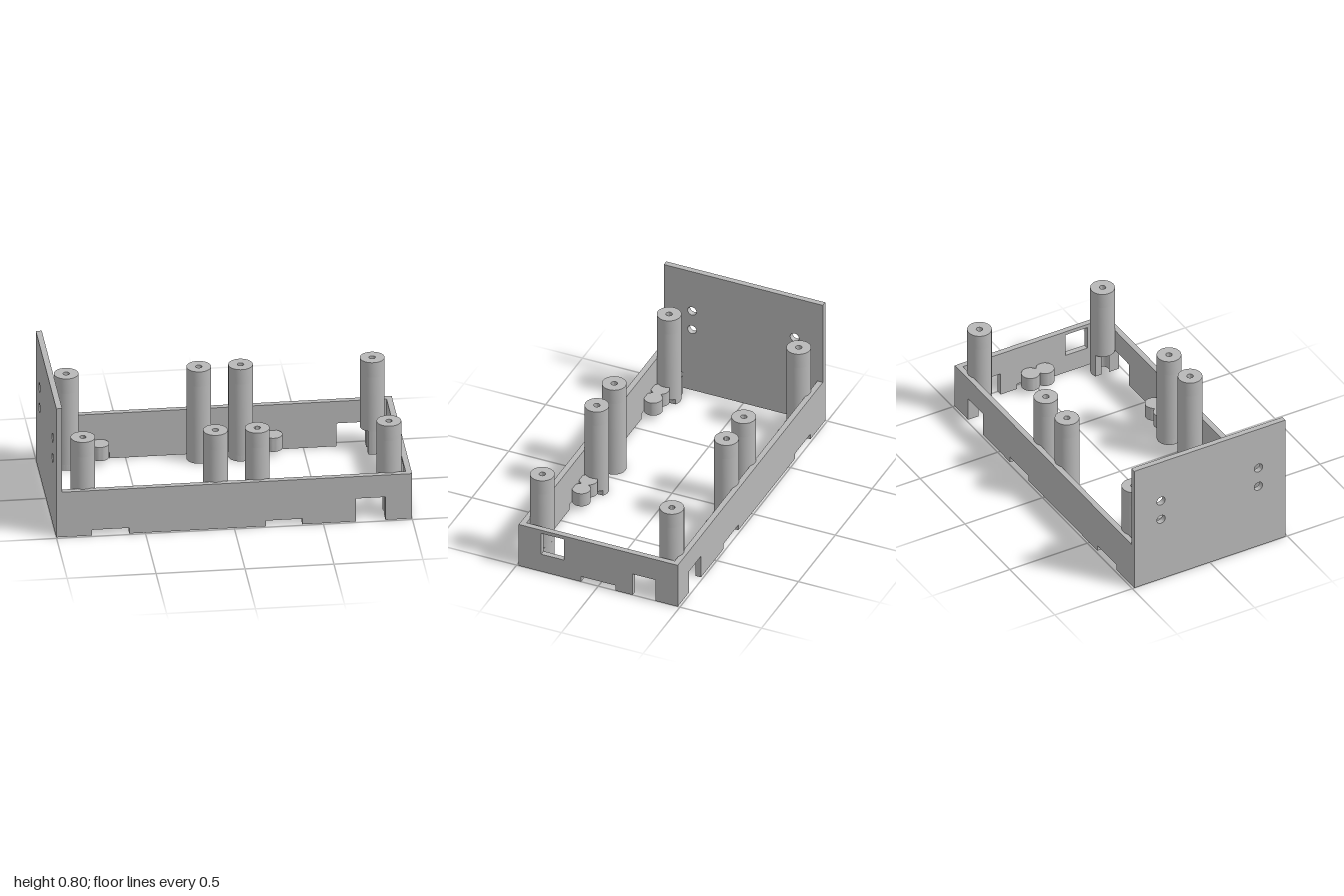
import * as THREE from 'three';
import { toCreasedNormals } from 'three/addons/utils/BufferGeometryUtils.js';

const W = 0.487, T = 0.033, H = 0.28;   // half depth, wall thickness, wall height

export function createModel() {
  const grey = new THREE.MeshStandardMaterial({ color: 0xb8b8b8 });
  grey.name = 'grey plastic';
  const model = new THREE.Group();

  function add(name, geometry, parent = model) {
    const mesh = new THREE.Mesh(geometry, grey);
    mesh.name = name;
    parent.add(mesh);
    return mesh;
  }

  // Wall outline from a to b with notches [start, end, height] in its lower edge
  function notchedWall(a, b, notches) {
    const s = new THREE.Shape();
    s.moveTo(a, 0);
    for (const [p, q, h] of notches) {
      s.lineTo(p, 0); s.lineTo(p, h); s.lineTo(q, h); s.lineTo(q, 0);
    }
    s.lineTo(b, 0); s.lineTo(b, H); s.lineTo(a, H);
    return s;
  }
  const slab = (shape) => new THREE.ExtrudeGeometry(shape, { depth: T, bevelEnabled: false, curveSegments: 20 });

  // Arc points; side -1 mirrors them in x
  function arc(r, from, to, side, n = 40) {
    return Array.from({ length: n + 1 }, (_, i) => {
      const t = from + (to - from) * i / n;
      return new THREE.Vector2(side * r * Math.cos(t), r * Math.sin(t));
    });
  }

  // Upright tube from y0 to y1, optionally cut flat at x = side * d
  function tube(r, bore, y0, y1, d = r, side = 1) {
    const a = d < r ? Math.acos(d / r) : 0;
    const points = arc(r, a, 2 * Math.PI - a, side);
    const opened = bore > 0 && d < bore;
    if (opened) {
      const b = Math.acos(d / bore);
      points.push(...arc(bore, 2 * Math.PI - b, b, side));
    }
    if (!a) points.pop();
    const shape = new THREE.Shape(points);
    if (bore > 0 && !opened) {
      const hole = new THREE.Path();
      hole.absarc(0, 0, bore, 0, Math.PI * 2, true);
      shape.holes.push(hole);
    }
    const g = new THREE.ExtrudeGeometry(shape, { depth: y1 - y0, bevelEnabled: false, curveSegments: 16 });
    g.rotateX(-Math.PI / 2).translate(0, y0, 0);
    return toCreasedNormals(g, 0.6);
  }

  // Long walls
  const longNotches = [[-0.8, -0.59, 0.035], [0.178, 0.383, 0.035], [0.685, 0.85, 0.143]];
  const long = slab(notchedWall(-1 + T, 1, longNotches));
  add('frontWall', long).position.z = W - T;
  add('backWall', long).position.z = -W;

  // Short wall with window; shape x runs along -z
  const short = notchedWall(-W + T, W - T, [[-0.105, 0.105, 0.035], [0.21, 0.35, 0.142]]);
  const windowHole = new THREE.Path();
  windowHole.moveTo(-0.35, 0.117);
  windowHole.lineTo(-0.35, 0.258);
  windowHole.lineTo(-0.21, 0.258);
  windowHole.lineTo(-0.21, 0.117);
  short.holes.push(windowHole);
  add('shortWall', slab(short).rotateY(Math.PI / 2)).position.x = 1 - T;

  // Tall end panel with four round holes
  const panel = new THREE.Shape();
  panel.moveTo(-W, 0); panel.lineTo(W, 0); panel.lineTo(W, 0.803); panel.lineTo(-W, 0.803);
  for (const z of [-0.314, 0.314]) for (const y of [0.41, 0.536]) {
    const hole = new THREE.Path();
    hole.absarc(z, y, 0.027, 0, Math.PI * 2, true);
    panel.holes.push(hole);
  }
  add('endPanel', toCreasedNormals(slab(panel).rotateY(Math.PI / 2), 0.6)).position.x = -1;

  // Posts: [x, height of cut, distance of cut from axis, side of cut]
  const posts = [[-0.84, 0.035, 0.04, 1], [-0.095], [0.14, 0.035, 0.04, 1], [0.88, 0.143, 0.03, -1]];
  // Low bosses beside the posts: [x, base height]
  const bosses = [[-0.745, 0.035], [-0.65, 0.035], [0.23, 0.035], [0.325, 0.035]];
  const R = 0.069, BORE = 0.038, TOP = 0.573, LOW = 0.12, r = 0.052;

  for (const s of [-1, 1]) {
    for (const [x, cut = 0, d, side] of posts) {
      const post = new THREE.Group();
      post.name = 'post';
      post.position.set(x, 0, s * 0.397);
      if (cut) add('postFoot', tube(R, BORE, 0, cut, d, side), post);
      add('postShaft', tube(R, BORE, cut, 0.48), post);
      add('postTop', tube(R, 0.018, 0.48, TOP), post);
      model.add(post);
    }
    for (const [x, y] of bosses) {
      const boss = new THREE.Group();
      boss.name = 'boss';
      boss.position.set(x, 0, s * 0.408);
      add('bossBody', tube(r, 0.017, y, 0.1), boss);
      add('bossTop', tube(r, 0, 0.1, LOW), boss);
      model.add(boss);
    }
    // Corner bosses merge into the end posts
    add('cornerBoss', tube(r, 0.015, 0, 0.1, 0.025, 1)).position.set(-0.91, 0, s * 0.4);
    add('cornerBossTop', tube(r, 0, 0.1, LOW, 0.025, 1)).position.set(-0.91, 0, s * 0.4);
    add('cornerBoss', tube(r, 0, 0, LOW, -0.015, -1)).position.set(0.912, 0, s * 0.4);
    // Pair of bosses at the short wall
    add('endBoss', tube(r, 0.017, 0.035, 0.1)).position.set(0.916, 0, s * 0.047);
    add('endBossTop', tube(r, 0, 0.1, LOW)).position.set(0.916, 0, s * 0.047);
  }
  return model;
}
